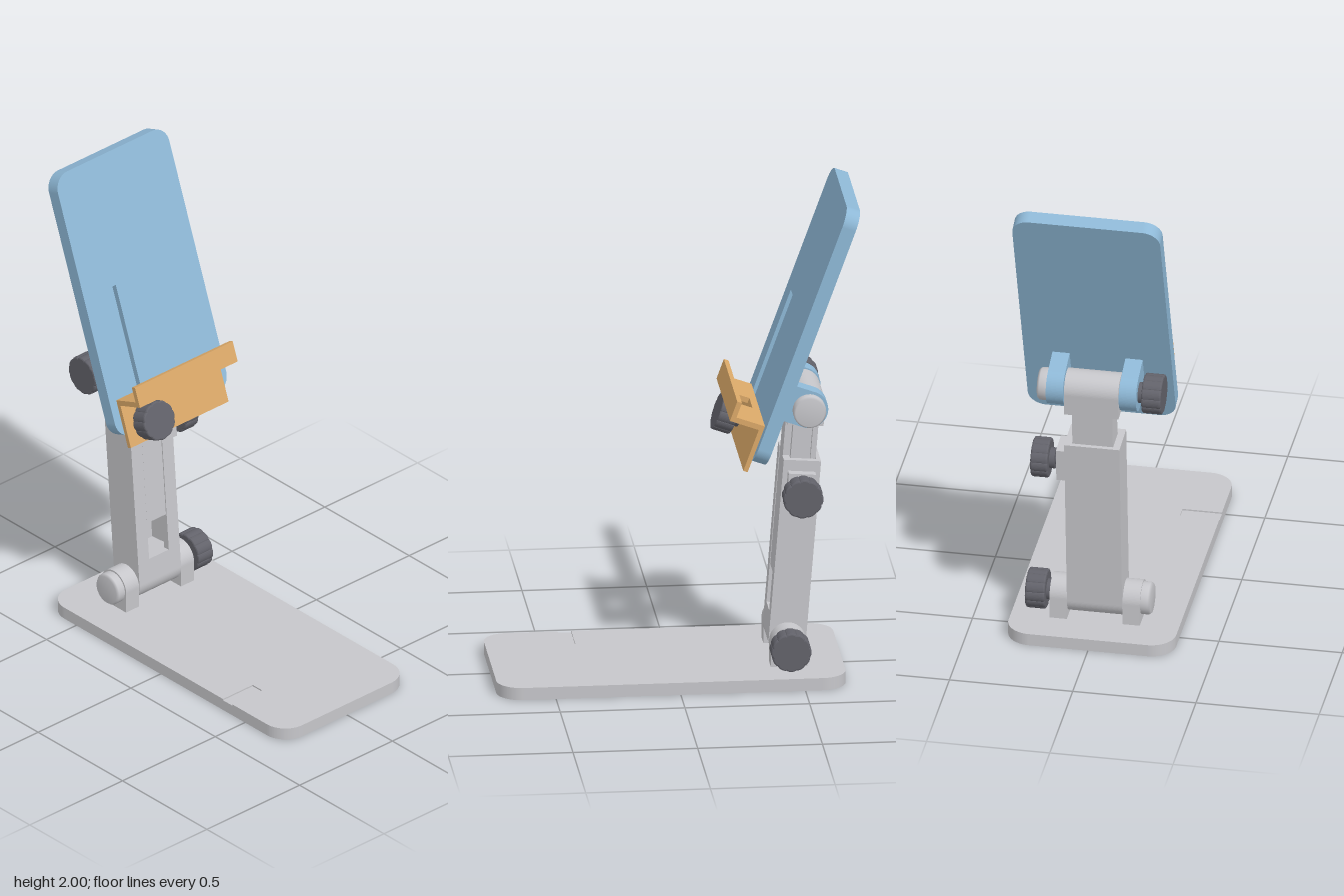
import * as THREE from 'three';

const mat = (name, color) => Object.assign(new THREE.MeshStandardMaterial({ color }), { name });

export function createModel() {
  const grey = mat('light grey', 0xc6c6ca);
  const blue = mat('blue', 0x8eb8d6);
  const orange = mat('orange', 0xdaa868);
  const dark = mat('dark grey', 0x62626a);
  const root = new THREE.Group();
  root.name = 'tiltingStand';

  const add = (parent, name, geo, material, x = 0, y = 0, z = 0) => {
    const m = new THREE.Mesh(geo, material);
    m.name = name;
    m.position.set(x, y, z);
    parent.add(m);
    return m;
  };
  const group = (parent, name, x = 0, y = 0, z = 0) => {
    const g = new THREE.Group();
    g.name = name;
    g.position.set(x, y, z);
    parent.add(g);
    return g;
  };
  const box = (x0, x1, y0, y1, z0, z1) =>
    new THREE.BoxGeometry(x1 - x0, y1 - y0, z1 - z0).translate((x0 + x1) / 2, (y0 + y1) / 2, (z0 + z1) / 2);
  const poly = (pts) => new THREE.Shape(pts.map(([x, y]) => new THREE.Vector2(x, y)));
  const rect = (x0, x1, y0, y1) => poly([[x0, y0], [x1, y0], [x1, y1], [x0, y1]]);
  const extrude = (shape, depth) =>
    new THREE.ExtrudeGeometry(shape, { depth, bevelEnabled: false, curveSegments: 20 });
  // Extrusions along +y (shape y becomes -z) and along +x (shape x becomes -z)
  const extrudeUp = (shape, y0, y1) => extrude(shape, y1 - y0).rotateX(-Math.PI / 2).translate(0, y0, 0);
  const extrudeX = (shape, x0, x1) => extrude(shape, x1 - x0).rotateY(Math.PI / 2).translate(x0, 0, 0);

  // Rounded rectangle, with optional notches cut in from the two long edges
  const roundRect = (x0, x1, y0, y1, r, low = [], high = []) => {
    const s = new THREE.Shape();
    s.moveTo(x0 + r, y0);
    for (const [a, b, d] of low) s.lineTo(a, y0).lineTo(a, d).lineTo(b, d).lineTo(b, y0);
    s.lineTo(x1 - r, y0).absarc(x1 - r, y0 + r, r, -Math.PI / 2, 0);
    s.lineTo(x1, y1 - r).absarc(x1 - r, y1 - r, r, 0, Math.PI / 2);
    for (const [a, b, d] of high) s.lineTo(b, y1).lineTo(b, d).lineTo(a, d).lineTo(a, y1);
    s.lineTo(x0 + r, y1).absarc(x0 + r, y1 - r, r, Math.PI / 2, Math.PI);
    s.lineTo(x0, y0 + r).absarc(x0 + r, y0 + r, r, Math.PI, Math.PI * 1.5);
    return s;
  };
  // Hinge lug: a straight foot with a round top about the origin
  const lug = (foot, r) => {
    const s = new THREE.Shape();
    s.moveTo(-r, -foot).lineTo(r, -foot).lineTo(r, 0).absarc(0, 0, r, 0, Math.PI);
    return s;
  };

  // Lobed hand knob along +z, from its neck at 0 to its face at len
  const knob = (parent, name, x, y, z, len = 0.1) => {
    const g = group(parent, name, x, y, z);
    const pts = [];
    for (let i = 0; i < 96; i++) {
      const a = (i / 96) * Math.PI * 2;
      const r = 0.07 + 0.005 * Math.sqrt(Math.abs(Math.cos(6 * a)));
      pts.push([r * Math.cos(a), r * Math.sin(a)]);
    }
    const body = new THREE.ExtrudeGeometry(poly(pts), {
      depth: len - 0.034, bevelSize: 0.006, bevelThickness: 0.007, bevelSegments: 2,
    });
    add(g, 'knobGrip', body.translate(0, 0, 0.027), dark);
    add(g, 'knobNeck', new THREE.CylinderGeometry(0.042, 0.042, 0.03, 32).rotateX(Math.PI / 2), dark, 0, 0, 0.013);
    return g;
  };
  // Round bolt head with a bevelled rim, along +z from 0
  const boltHead = (parent, x, y, z, back = false) => {
    const pts = [[0.066, 0], [0.066, 0.03], [0.058, 0.04], [0, 0.04]].map(([a, b]) => new THREE.Vector2(a, b));
    const geo = new THREE.LatheGeometry(pts, 36).rotateX(Math.PI / 2);
    add(parent, 'boltHead', geo, grey, x, y, z).rotation.y = back ? Math.PI : 0;
  };

  // Base: foot recesses below, shallow knob grooves on top
  const base = group(root, 'base');
  const outline = (low, high) => roundRect(-0.67, 0.73, -0.34, 0.34, 0.1, low, high);
  const sole = outline();
  for (const x of [-0.57, 0.63]) for (const y of [-0.24, 0.24]) {
    sole.holes.push(new THREE.Path().absarc(x, y, 0.035, 0, Math.PI * 2, true));
  }
  add(base, 'baseSole', extrudeUp(sole, 0, 0.008), grey);
  add(base, 'basePlate', extrudeUp(outline(), 0.008, 0.045), grey);
  const top = outline([[0.37, 0.425, -0.18]], [[-0.48, -0.41, 0.18], [0.165, 0.22, 0.16]]);
  add(base, 'baseTop', extrudeUp(top, 0.045, 0.051), grey);

  // Lower hinge
  const lower = group(root, 'lowerHinge', -0.45, 0.14);
  for (const z of [0.113, -0.183]) add(lower, 'hingeLug', extrude(lug(0.092, 0.073), 0.07), grey, 0, 0, z);
  boltHead(lower, 0, 0, 0.183);
  knob(lower, 'lowerKnob', 0, 0, -0.183).rotation.y = Math.PI;

  // Telescopic arm, leaning back from the lower hinge
  const arm = group(root, 'arm', -0.45, 0.14);
  const L = 0.993;
  arm.rotation.z = Math.atan2(0.08, 0.99);
  const foot = lug(0.1, 0.075);
  add(arm, 'sleeveFoot', extrude(foot, 0.224).rotateZ(Math.PI), grey, 0, 0, -0.112);
  const sleeve = poly([[0.075, -0.112], [0.075, -0.053], [0.047, -0.053], [0.047, -0.084], [-0.058, -0.084],
    [-0.058, 0.084], [0.047, 0.084], [0.047, 0.053], [0.075, 0.053], [0.075, 0.112], [-0.075, 0.112], [-0.075, -0.112]]);
  add(arm, 'sleeve', extrudeUp(sleeve, 0.1, 0.755), grey);
  const bar = poly([[0.045, -0.082], [0.045, -0.051], [0.073, -0.051], [0.073, 0.051], [0.045, 0.051],
    [0.045, 0.082], [0.025, 0.082], [0.025, 0.062], [-0.035, 0.062], [-0.035, 0.082], [-0.056, 0.082], [-0.056, -0.082]]);
  add(arm, 'slidingBar', extrudeUp(bar, 0.26, L - 0.09), grey);
  add(arm, 'barHead', extrude(lug(0.09, 0.073), 0.22), grey, 0, L, -0.11);
  add(arm, 'clampBoss', box(-0.055, 0.055, 0.57, 0.71, -0.15, -0.112), grey);
  add(arm, 'clampBolt', new THREE.CylinderGeometry(0.025, 0.025, 0.05, 24).rotateX(Math.PI / 2), dark, 0, 0.637, -0.165);
  knob(arm, 'heightKnob', 0, 0.637, -0.162, 0.09).rotation.y = Math.PI;
  boltHead(arm, 0, L, -0.183, true);
  knob(arm, 'upperKnob', 0, L, 0.183);

  // Tilted back rest: a solid rear layer and a slotted front layer
  const rest = group(root, 'backRest', -0.318, 0.935);
  rest.rotation.z = THREE.MathUtils.degToRad(20);
  const panel = () => roundRect(-0.3, 0.3, 0, 1.123, 0.07);
  add(rest, 'restPanel', extrudeX(panel(), -0.0285, 0.004), blue);
  const slotted = panel();
  slotted.holes.push(rect(-0.2, -0.13, 0.09, 0.6));
  add(rest, 'slottedFace', extrudeX(slotted, 0.004, 0.0285), blue);
  for (const z of [0.113, -0.183]) {
    add(rest, 'restLug', extrude(lug(0.107, 0.077), 0.07).rotateZ(Math.PI / 2), blue, -0.1325, 0.256, z);
  }

  // Ledge: clamp plate, shelf with a cable opening, and lip
  const ledge = group(rest, 'ledge');
  add(ledge, 'ledgePlate', box(0.0286, 0.047, -0.045, 0.158, -0.262, 0.265), orange);
  const shelf = rect(0.047, 0.15, -0.265, 0.262);
  shelf.holes.push(rect(0.06, 0.125, -0.06, 0.06));
  add(ledge, 'shelf', extrudeUp(shelf, 0.136, 0.158), orange);
  add(ledge, 'lip', box(0.15, 0.17, 0.136, 0.222, -0.262, 0.265), orange);
  add(ledge, 'ledgeBolt', new THREE.CylinderGeometry(0.025, 0.025, 0.04, 24).rotateZ(Math.PI / 2), dark, 0.06, 0.042, 0.165);
  knob(ledge, 'ledgeKnob', 0.05, 0.042, 0.165, 0.095).rotation.y = Math.PI / 2;

  return root;
}
